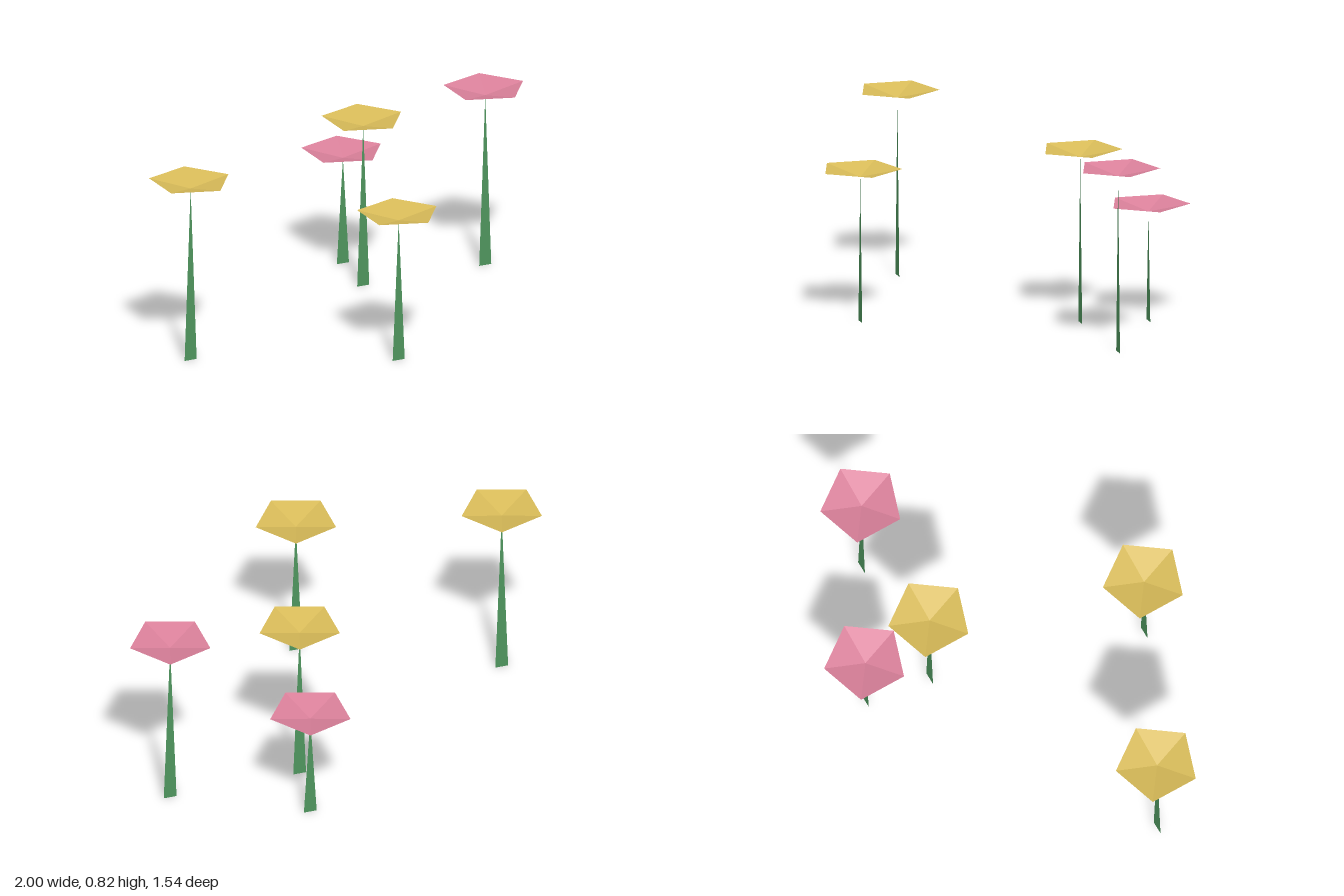
import * as THREE from 'three';

const RADIUS = 0.182, DEPTH = 0.036, STEM_HALF = 0.029;

function material(name, color) {
  const m = new THREE.MeshStandardMaterial({ color, flatShading: true, side: THREE.DoubleSide });
  m.name = name;
  return m;
}

// Shallow open five-sided cup, tip at the origin, one corner towards +x
function cupGeometry() {
  return new THREE.ConeGeometry(RADIUS, DEPTH, 5, 1, true, Math.PI / 2)
    .rotateX(Math.PI)
    .translate(0, DEPTH / 2, 0);
}

// Flat blade tapering to a point under the cup
function stemGeometry(height) {
  const blade = new THREE.Shape();
  blade.moveTo(-STEM_HALF, 0);
  blade.lineTo(STEM_HALF, 0);
  blade.lineTo(0, height);
  return new THREE.ShapeGeometry(blade);
}

export function createModel() {
  const group = new THREE.Group();
  group.name = 'flowers';
  const green = material('stem green', 0x4f965e);
  const gold = material('petal gold', 0xd9bc59);
  const pink = material('petal pink', 0xdb819b);
  const cup = cupGeometry();

  // x, z, rim height, petal colour
  const flowers = [
    [-0.853, 0.197, 0.822, gold],
    [-0.051, 0.597, 0.676, gold],
    [0.23, -0.308, 0.768, gold],
    [0.278, -0.6, 0.519, pink],
    [0.817, -0.307, 0.814, pink],
  ];

  for (const [x, z, rim, petals] of flowers) {
    const flower = new THREE.Group();
    flower.name = 'flower';
    flower.position.set(x, 0, z);

    const stem = new THREE.Mesh(stemGeometry(rim - DEPTH), green);
    stem.name = 'stem';

    const blossom = new THREE.Mesh(cup, petals);
    blossom.name = 'blossom';
    blossom.position.y = rim - DEPTH;

    flower.add(stem, blossom);
    group.add(flower);
  }
  return group;
}
